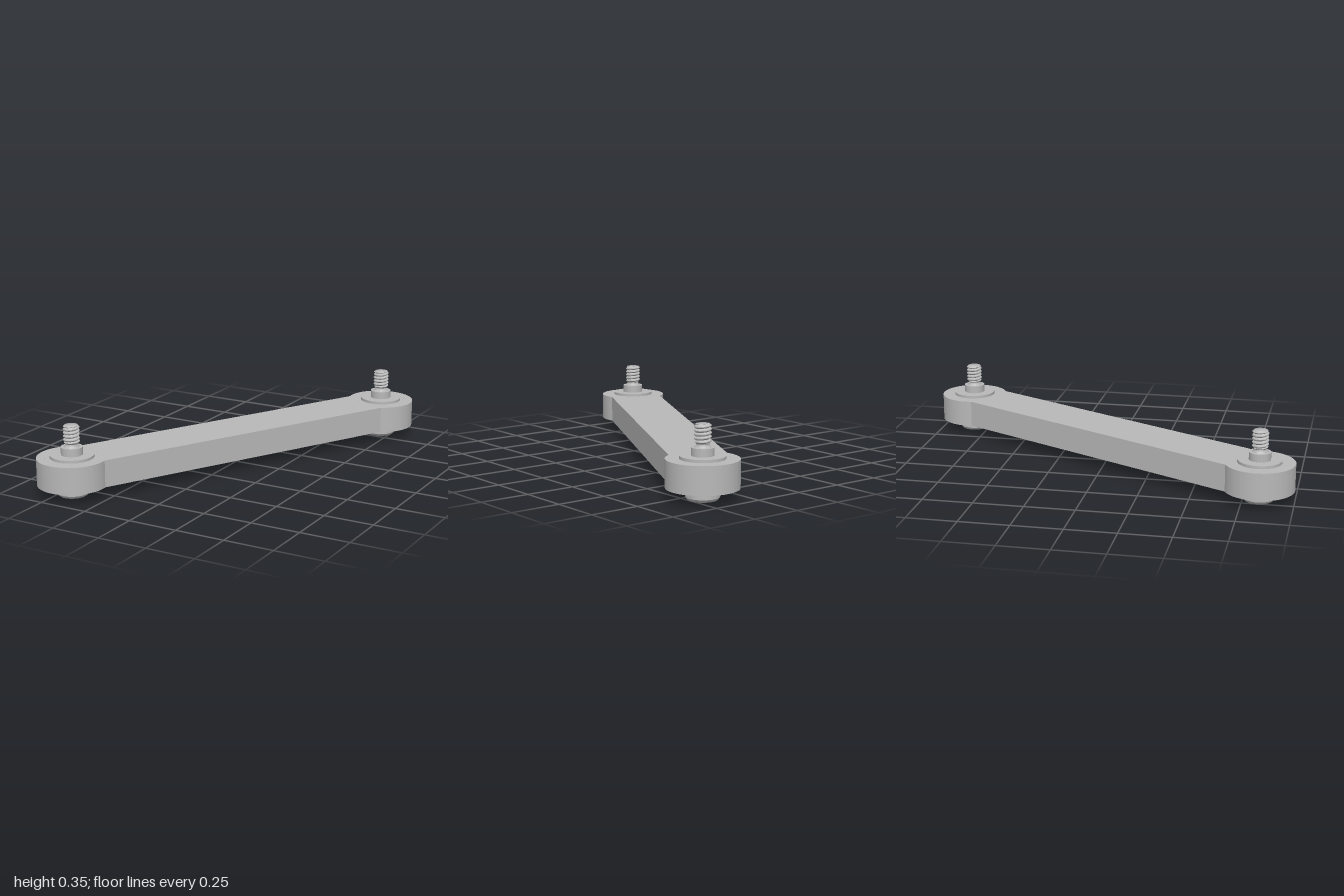
import * as THREE from 'three';
import { toCreasedNormals } from 'three/addons/utils/BufferGeometryUtils.js';

const steel = new THREE.MeshStandardMaterial({ color: 0xb8b8b8 });
steel.name = 'grey steel';

const END_X = 0.437, END_Z = -0.828;
const HALF = Math.hypot(END_X, END_Z);
const EYE_R = 0.172, BAR_HALF = 0.137, HOLE_R = 0.13;
const BOTTOM = 0.055, TOP = 0.19;

function part(name, geometry) {
  const mesh = new THREE.Mesh(geometry, steel);
  mesh.name = name;
  return mesh;
}

// Turned part from [radius, height] pairs, listed bottom to top
function turned(name, profile) {
  const points = profile.map(([r, y]) => new THREE.Vector2(r, y));
  return part(name, toCreasedNormals(new THREE.LatheGeometry(points, 56), 0.5));
}

// Flat outline extruded upward from height y
function plate(name, shape, y, height) {
  const geo = new THREE.ExtrudeGeometry(shape, { depth: height, bevelEnabled: false, curveSegments: 40 });
  geo.rotateX(-Math.PI / 2).translate(0, y, 0);
  return part(name, toCreasedNormals(geo, 0.5));
}

// Straight bar with a round eye at each end
function linkBody() {
  const a = Math.asin(BAR_HALF / EYE_R);
  const shape = new THREE.Shape();
  shape.absarc(HALF, 0, EYE_R, a - Math.PI, Math.PI - a, false);
  shape.absarc(-HALF, 0, EYE_R, a, 2 * Math.PI - a, false);
  shape.closePath();
  for (const s of [-1, 1]) {
    shape.holes.push(new THREE.Path().absarc(s * HALF, 0, HOLE_R, 0, Math.PI * 2, true));
  }
  const body = plate('linkBar', shape, BOTTOM, TOP - BOTTOM);
  body.rotation.y = Math.atan2(-END_Z, END_X);
  return body;
}

// Threaded stud: cylinder whose radius follows a right-hand helix
function thread() {
  const y0 = 0.258, y1 = 0.35, pitch = 0.0175;
  const geo = new THREE.CylinderGeometry(0.04, 0.04, y1 - y0, 36, 64);
  geo.translate(0, (y0 + y1) / 2, 0);
  const pos = geo.attributes.position;
  for (let i = 0; i < pos.count; i++) {
    const x = pos.getX(i), y = pos.getY(i), z = pos.getZ(i);
    const r = Math.hypot(x, z);
    if (r < 1e-5) continue;
    const phase = y / pitch - Math.atan2(x, z) / (2 * Math.PI);
    const ridge = Math.abs(2 * (phase - Math.floor(phase)) - 1);
    let radius = 0.031 + 0.009 * Math.min(1, ridge * 1.4);
    radius = Math.min(radius, 0.032 + (y1 - y) * 1.2, 0.03 + (y - y0) * 1.0);
    pos.setX(i, (x / r) * radius);
    pos.setZ(i, (z / r) * radius);
  }
  return part('studThread', toCreasedNormals(geo, 0.7));
}

// Bolt head with a hexagonal socket underneath
function boltHead() {
  const head = new THREE.Group();
  head.name = 'boltHead';
  head.add(turned('headRim', [
    [0.068, 0], [0.073, 0.004], [0.08, 0.014], [0.08, 0.05], [0.077, 0.054], [0.04, 0.054], [0.04, 0.07],
  ]));
  const face = new THREE.Shape().absarc(0, 0, 0.068, 0, Math.PI * 2, false);
  const hex = new THREE.Path();
  const corners = [];
  for (let i = 0; i < 6; i++) {
    const t = -i * Math.PI / 3;
    corners.push(new THREE.Vector2(0.036 * Math.cos(t), 0.036 * Math.sin(t)));
  }
  hex.setFromPoints(corners).closePath();
  face.holes.push(hex);
  head.add(plate('headFace', face, 0, 0.03));
  const floor = part('socketFloor', new THREE.CircleGeometry(0.04, 24));
  floor.rotation.x = Math.PI / 2;
  floor.position.y = 0.029;
  head.add(floor);
  return head;
}

// Bushing, flange, collar, stud and head for one eye
function fastener(name, x, z) {
  const group = new THREE.Group();
  group.name = name;
  group.add(
    turned('bushingWithCollar', [
      [0.03, 0.06], [0.1, 0.06], [0.1, 0.075], [HOLE_R, 0.075], [HOLE_R, TOP],
      [0.107, TOP], [0.107, 0.204], [0.053, 0.204], [0.053, 0.242],
      [0.039, 0.242], [0.034, 0.247], [0.03, 0.256], [0.03, 0.264],
    ]),
    thread(),
    boltHead(),
  );
  group.position.set(x, 0, z);
  return group;
}

export function createModel() {
  const model = new THREE.Group();
  model.name = 'linkArm';
  model.add(
    linkBody(),
    fastener('rearFastener', END_X, END_Z),
    fastener('frontFastener', -END_X, -END_Z),
  );
  return model;
}
